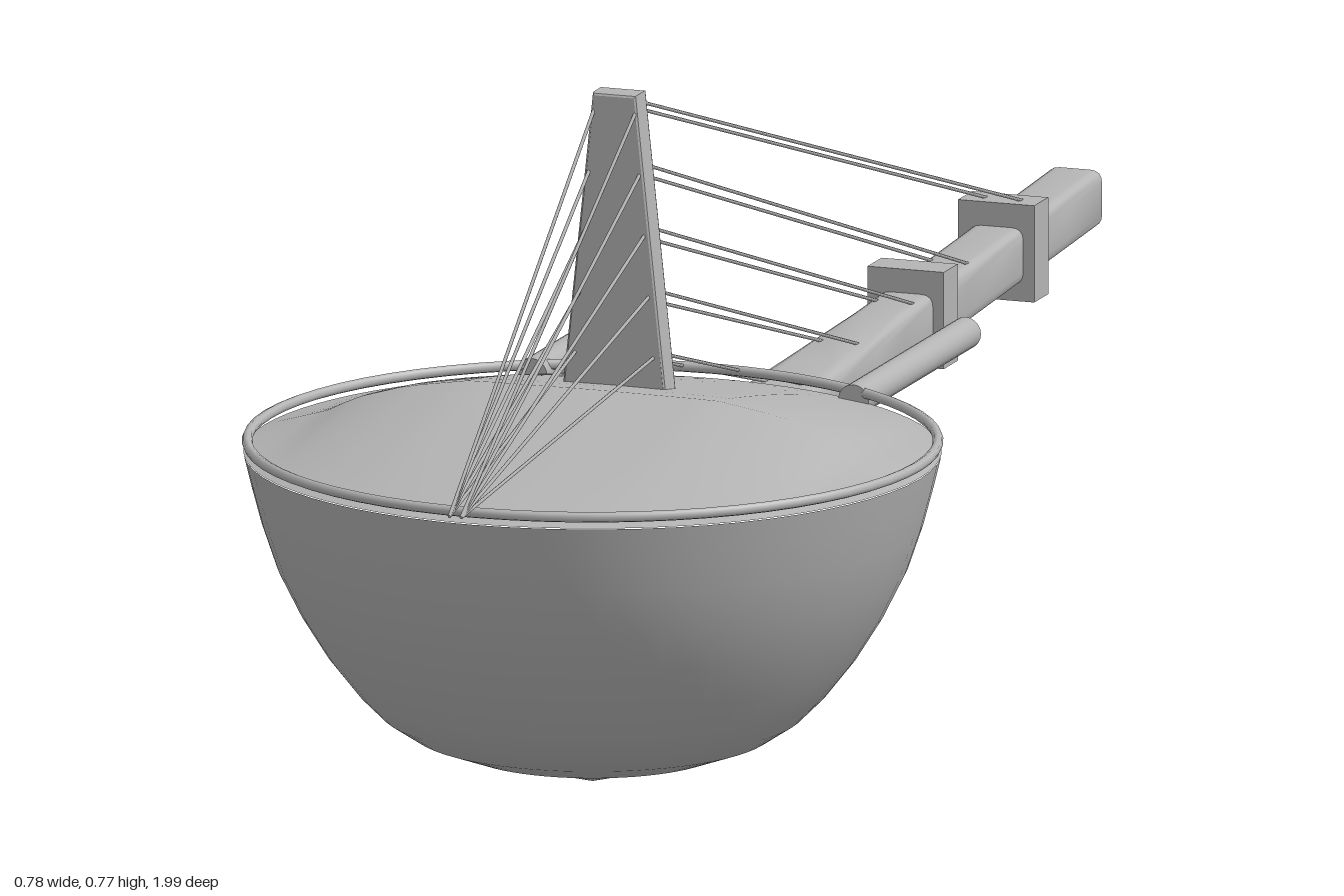
import * as THREE from 'three';
import { toCreasedNormals } from 'three/addons/utils/BufferGeometryUtils.js';

const grey = new THREE.MeshStandardMaterial({ color: 0xb4b4b4 });
grey.name = 'plain grey';

const BOWL_Z = 0.545, R = 0.387;
const V = (x, y, z) => new THREE.Vector3(x, y, z);
const neckY = z => 0.338 - (z + 1) * 0.0475; // the neck rises towards the back

export function createModel() {
  const model = new THREE.Group();
  const add = (name, geometry, x = 0, y = 0, z = 0) => {
    const mesh = new THREE.Mesh(geometry, grey);
    mesh.name = name;
    mesh.position.set(x, y, z);
    model.add(mesh);
    return mesh;
  };
  // straight round bar between two points
  const bar = (name, a, b, r, sides) => {
    const mesh = add(name, new THREE.CylinderGeometry(r, r, a.distanceTo(b), sides));
    mesh.position.copy(a).add(b).multiplyScalar(0.5);
    mesh.quaternion.setFromUnitVectors(V(0, 1, 0), b.clone().sub(a).normalize());
  };

  // gourd bowl with a slightly pointed bottom
  const profile = [[0, 0.004], [0.05, 0.018], [0.09, 0.028], [0.145, 0.04], [0.2, 0.06],
    [0.235, 0.083], [0.262, 0.11], [0.295, 0.152], [0.325, 0.2], [0.35, 0.25],
    [0.367, 0.3], [0.379, 0.345], [R, 0.378]];
  add('bowl', new THREE.LatheGeometry(profile.map(p => new THREE.Vector2(...p)), 64), 0, 0, BOWL_Z);

  // skin stretched over a crosswise ridge
  const ridge = [[0, 0.449], [0.145, 0.448], [0.22, 0.436], [0.28, 0.418],
    [0.315, 0.4], [0.34, 0.393], [R, 0.379]];
  const ridgeY = x => {
    const i = Math.max(1, ridge.findIndex(p => p[0] >= x - 1e-6));
    const [a, b] = [ridge[i - 1], ridge[i]];
    return THREE.MathUtils.mapLinear(x, a[0], b[0], a[1], b[1]);
  };
  const skin = new THREE.PlaneGeometry(2, 2, 40, 20).rotateX(-Math.PI / 2);
  const sp = skin.attributes.position;
  for (let i = 0; i < sp.count; i++) {
    const x = R * Math.sin(sp.getX(i) * Math.PI / 2), v = sp.getZ(i);
    const edge = 0.379;
    const y = edge + (ridgeY(Math.abs(x)) - edge) * (1 - Math.abs(v) ** 1.15);
    sp.setXYZ(i, x, y, v * Math.sqrt(Math.max(0, R * R - x * x)));
  }
  skin.computeVertexNormals();
  add('skin', skin, 0, 0, BOWL_Z);

  // rim ring
  add('rim', new THREE.TorusGeometry(0.383, 0.006, 8, 64).rotateX(Math.PI / 2), 0, 0.391, BOWL_Z);

  // neck: rounded square bar that flares sideways where it meets the bowl
  const w = 0.032, c = 0.014;
  const section = new THREE.Shape();
  section.moveTo(-w + c, -w).lineTo(w - c, -w).quadraticCurveTo(w, -w, w, -w + c)
    .lineTo(w, w - c).quadraticCurveTo(w, w, w - c, w)
    .lineTo(-w + c, w).quadraticCurveTo(-w, w, -w, w - c)
    .lineTo(-w, -w + c).quadraticCurveTo(-w, -w, -w + c, -w);
  const neck = new THREE.ExtrudeGeometry(section, { depth: 1.26, steps: 12, curveSegments: 4, bevelEnabled: false });
  neck.translate(0, 0, -1);
  const np = neck.attributes.position;
  for (let i = 0; i < np.count; i++) {
    const z = np.getZ(i);
    const flare = 1 + 0.72 * THREE.MathUtils.clamp((z + 0.4) / 0.55, 0, 1.15);
    np.setXYZ(i, np.getX(i) * flare, np.getY(i) * (1 + 0.05 * flare - 0.05) + neckY(z), z);
  }
  add('neck', toCreasedNormals(neck, 0.7));

  // square collars on the neck
  for (const z of [-0.48, -0.77]) {
    add('collar', new THREE.BoxGeometry(0.09, 0.11, 0.045), 0, neckY(z) + 0.003, z);
  }

  // tapering upright bridge
  const bridge = new THREE.Shape([[-0.064, 0.41], [0.064, 0.41], [0.026, 0.77], [-0.026, 0.77]]
    .map(p => new THREE.Vector2(...p)));
  add('bridge', new THREE.ExtrudeGeometry(bridge, {
    depth: 0.024, bevelThickness: 0.005, bevelSize: 0.003, bevelOffset: -0.003, bevelSegments: 2,
  }), 0, 0, 0.448);

  // handles and strings, mirrored left and right
  for (const s of [1, -1]) {
    bar('handle', V(s * 0.19, 0.383, 0.225), V(s * 0.19, 0.383, -0.135), 0.018, 20);
    for (let i = 0; i < 5; i++) {
      const notch = V(s * (0.025 + i * 0.0056), 0.76 - i * 0.071, 0.46);
      const z = -0.775 + i * 0.175;
      bar('tailString', V(s * 0.007, 0.398, 0.985), notch, 0.002, 6);
      bar('neckString', notch, V(s * 0.021, neckY(z) + (i ? 0.03 : 0.056), z), 0.002, 6);
    }
  }
  return model;
}
